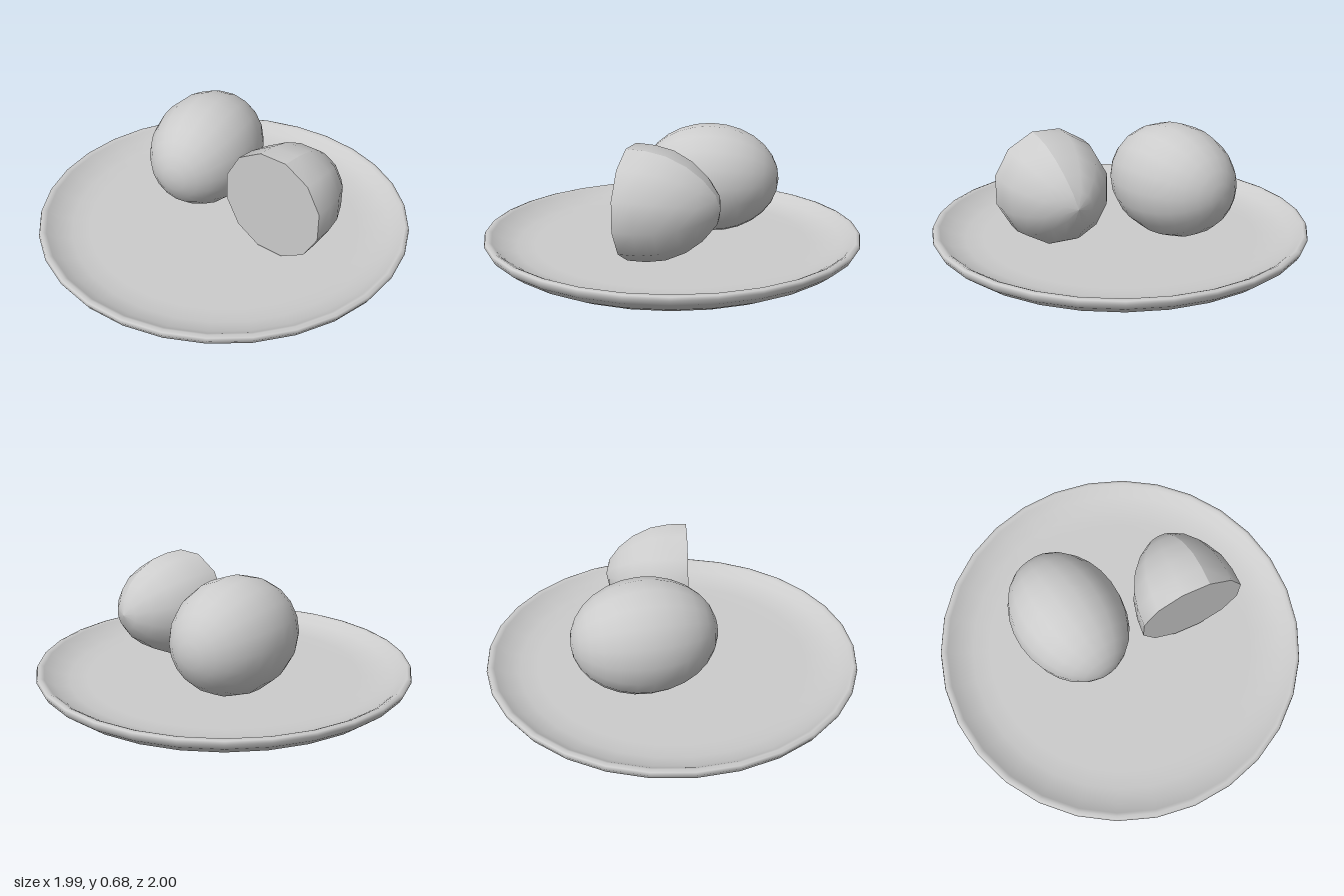
import * as THREE from 'three';

const grey = new THREE.MeshStandardMaterial({ color: 0xcccccc });

// Smooth solid of revolution from [radius, height] pairs, listed from the bottom up
function lathe(name, pairs, sides, phase = 0) {
  const points = pairs.map(([r, y]) => new THREE.Vector2(r, y));
  const mesh = new THREE.Mesh(new THREE.LatheGeometry(points, sides, phase), grey);
  mesh.name = name;
  return mesh;
}

export function createModel() {
  const model = new THREE.Group();
  model.name = 'eggsOnPlate';

  // Shallow plate with a rounded rim
  model.add(lathe('plate', [
    [0, 0], [0.4, 0], [0.74, 0.005], [0.85, 0.025], [0.93, 0.065], [0.985, 0.108],
    [1, 0.135], [0.995, 0.151], [0.978, 0.156], [0.96, 0.147],
    [0.91, 0.112], [0.83, 0.09], [0.74, 0.085], [0.4, 0.085], [0, 0.085],
  ], 30));

  // Whole egg lying with its long axis front to back
  const eggGeometry = new THREE.SphereGeometry(1, 18, 14);
  eggGeometry.rotateX(-Math.PI / 2);
  eggGeometry.scale(0.297, 0.3, 0.378);
  const wholeEgg = new THREE.Mesh(eggGeometry, grey);
  wholeEgg.name = 'wholeEgg';
  wholeEgg.position.set(-0.205, 0.382, -0.188);
  model.add(wholeEgg);

  // Half egg: a dome pointing backward, closed by a flat cut face
  const halfEgg = new THREE.Group();
  halfEgg.name = 'halfEgg';
  const sides = 12, phase = Math.PI / sides;
  const dome = lathe('halfEggShell', [
    [0.292, 0], [0.288, 0.1], [0.268, 0.2], [0.22, 0.3],
    [0.155, 0.38], [0.08, 0.437], [0, 0.456],
  ], sides, phase);
  dome.geometry.rotateX(-Math.PI / 2);
  // The tip leans slightly sideways
  const p = dome.geometry.attributes.position;
  for (let i = 0; i < p.count; i++) p.setX(i, p.getX(i) - p.getZ(i) * 0.05);
  dome.geometry.computeVertexNormals();
  const cut = new THREE.Mesh(new THREE.CircleGeometry(0.292, sides, phase), grey);
  cut.name = 'halfEggCutFace';
  halfEgg.add(dome, cut);
  halfEgg.position.set(0.355, 0.385, 0.16);
  halfEgg.rotation.y = -0.187;
  model.add(halfEgg);

  return model;
}
